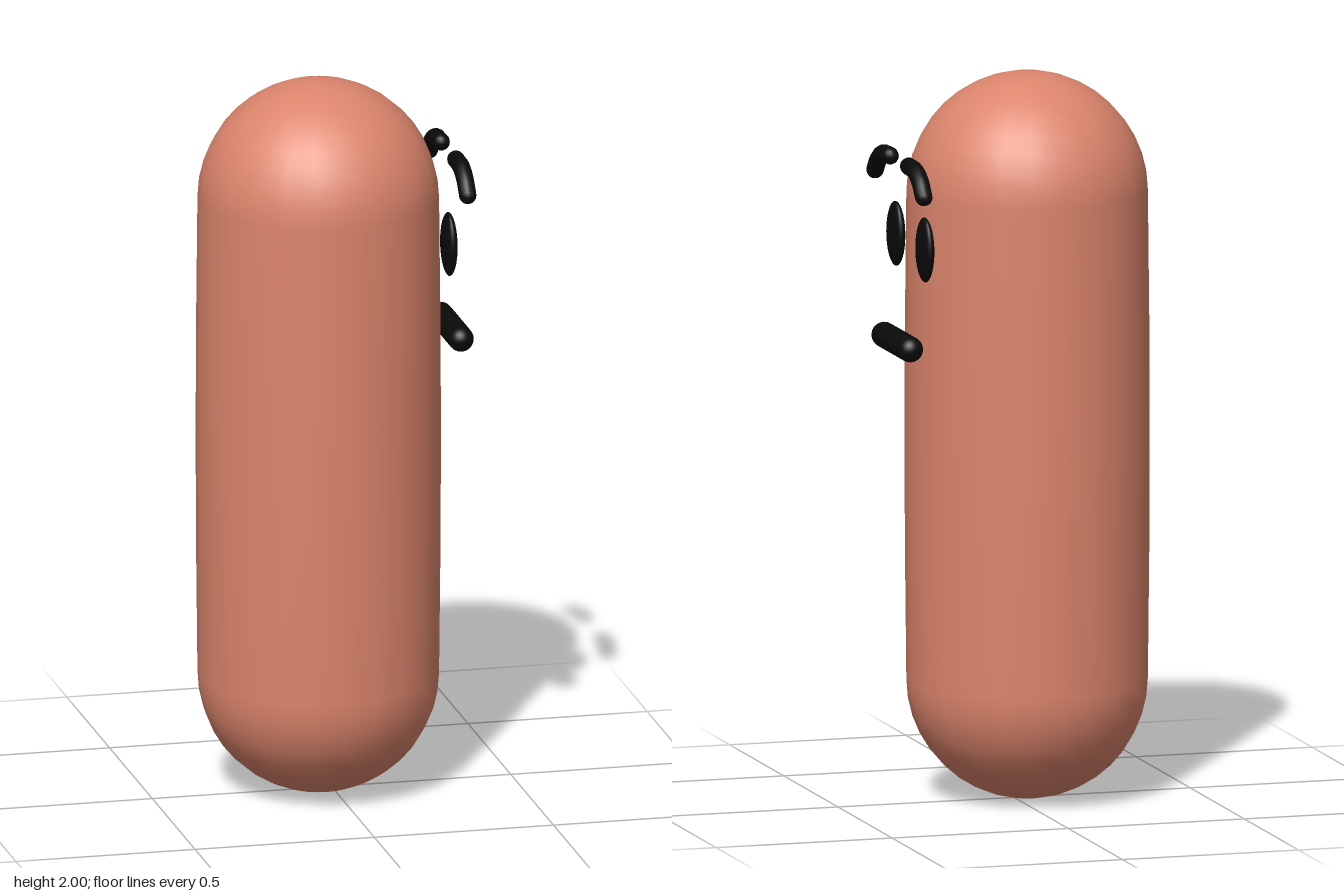
import * as THREE from 'three';

export function createModel() {
  const group = new THREE.Group();
  const skin = new THREE.MeshStandardMaterial({ color: 0xdc856c });
  skin.name = 'salmon';
  const black = new THREE.MeshStandardMaterial({ color: 0x0a0a0a });
  black.name = 'black';

  const FACE_Z = -0.011; // the face sits slightly off centre

  function add(name, geometry, material, x, y, z) {
    const mesh = new THREE.Mesh(geometry, material);
    mesh.name = name;
    mesh.position.set(x, y, z);
    group.add(mesh);
    return mesh;
  }

  // Body: a capsule with a very slight swell at the waist
  const r = 0.328, capSteps = 10, profile = [];
  for (let i = 0; i <= capSteps; i++) {
    const a = (i / capSteps) * Math.PI / 2;
    profile.push(new THREE.Vector2(r * Math.sin(a), r - r * Math.cos(a)));
  }
  profile.push(new THREE.Vector2(0.332, 0.7), new THREE.Vector2(0.333, 1), new THREE.Vector2(0.332, 1.3));
  for (let i = capSteps; i >= 0; i--) {
    const a = (i / capSteps) * Math.PI / 2;
    profile.push(new THREE.Vector2(r * Math.sin(a), 2 - r + r * Math.cos(a)));
  }
  add('body', new THREE.LatheGeometry(profile, 24), skin, -0.037, 0, 0);

  // Mouth: a straight horizontal capsule
  const mouth = new THREE.CapsuleGeometry(0.035, 0.24, 8, 20);
  mouth.rotateX(Math.PI / 2);
  add('mouth', mouth, black, 0.335, 1.275, FACE_Z);

  for (const [side, s] of [['right', 1], ['left', -1]]) {
    // Eye: a thin upright ellipsoid
    const eye = new THREE.SphereGeometry(1, 28, 18);
    eye.scale(0.02, 0.089, 0.06);
    add(side + 'Eye', eye, black, 0.298, 1.55, FACE_Z + s * 0.134);

    // Eyebrow: a curved tube with rounded ends
    const points = [[0.225, 1.712], [0.193, 1.747], [0.149, 1.77], [0.086, 1.774]]
      .map(([z, y]) => new THREE.Vector3(0, y, s * z));
    const brow = new THREE.Group();
    brow.name = side + 'Eyebrow';
    brow.position.set(0.329, 0, FACE_Z);
    brow.add(new THREE.Mesh(new THREE.TubeGeometry(new THREE.CatmullRomCurve3(points), 24, 0.024, 14), black));
    for (const p of [points[0], points[3]]) {
      const tip = new THREE.Mesh(new THREE.SphereGeometry(0.024, 14, 10), black);
      tip.position.copy(p);
      brow.add(tip);
    }
    brow.children.forEach((m, i) => { m.name = i ? 'browTip' : 'browArc'; });
    group.add(brow);
  }
  return group;
}
